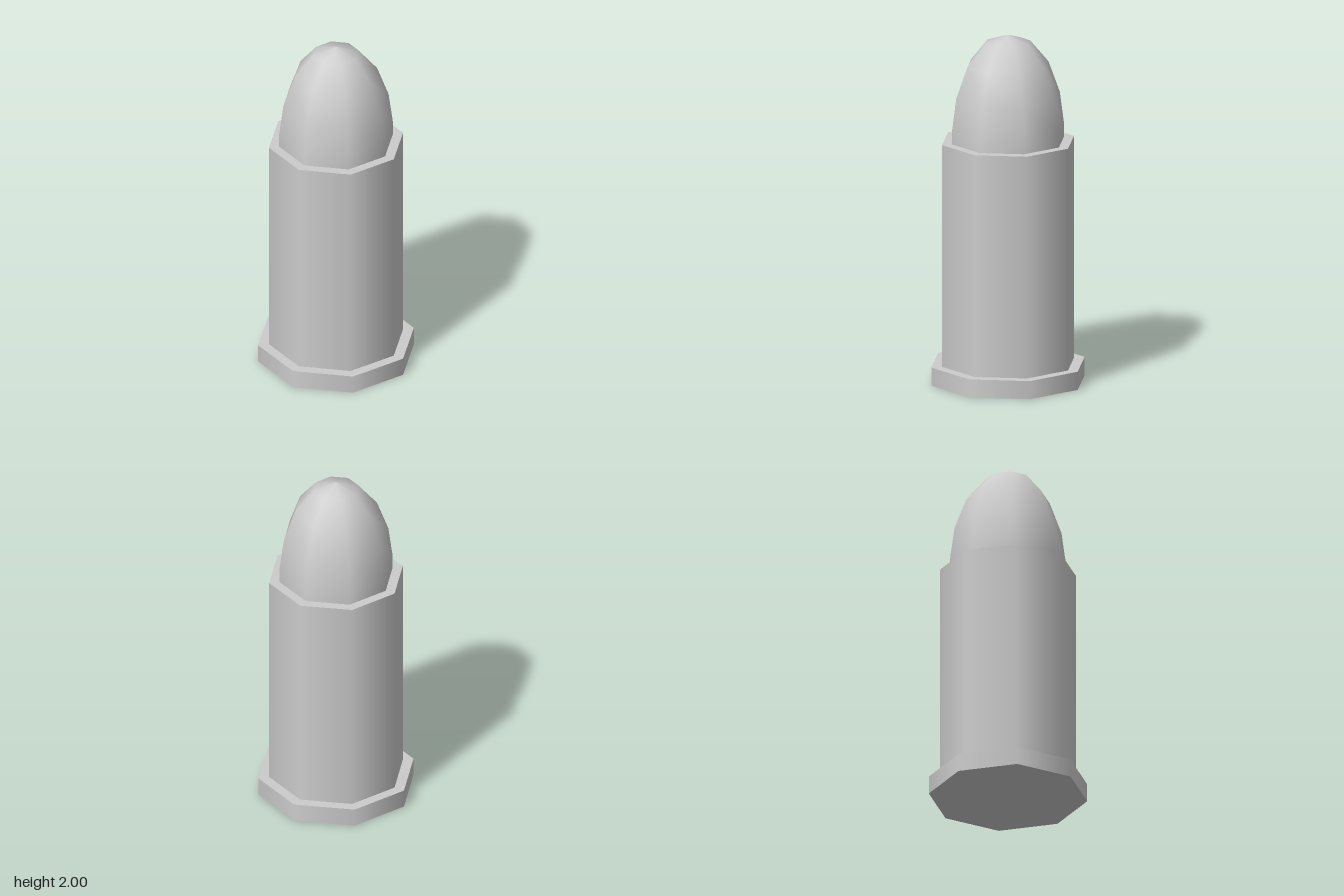
import * as THREE from 'three';

const SIDES = 8;

export function createModel() {
  const model = new THREE.Group();
  const material = new THREE.MeshStandardMaterial({ color: 0xcccccc });

  const add = (name, geometry, y = 0) => {
    const mesh = new THREE.Mesh(geometry, material);
    mesh.name = name;
    mesh.position.y = y;
    model.add(mesh);
  };

  // Straight-sided octagonal section standing between two heights
  const section = (name, radius, bottom, top) =>
    add(name, new THREE.CylinderGeometry(radius, radius, top - bottom, SIDES), (bottom + top) / 2);

  section('baseRim', 0.447, 0, 0.105);
  section('casing', 0.385, 0.105, 1.388);

  // Rounded nose seated in the casing
  const profile = [
    [0.327, 1.37], [0.326, 1.47], [0.302, 1.65], [0.236, 1.83], [0.13, 1.958], [0, 2],
  ].map(([r, y]) => new THREE.Vector2(r, y));
  add('roundedTip', new THREE.LatheGeometry(profile, SIDES));

  return model;
}
